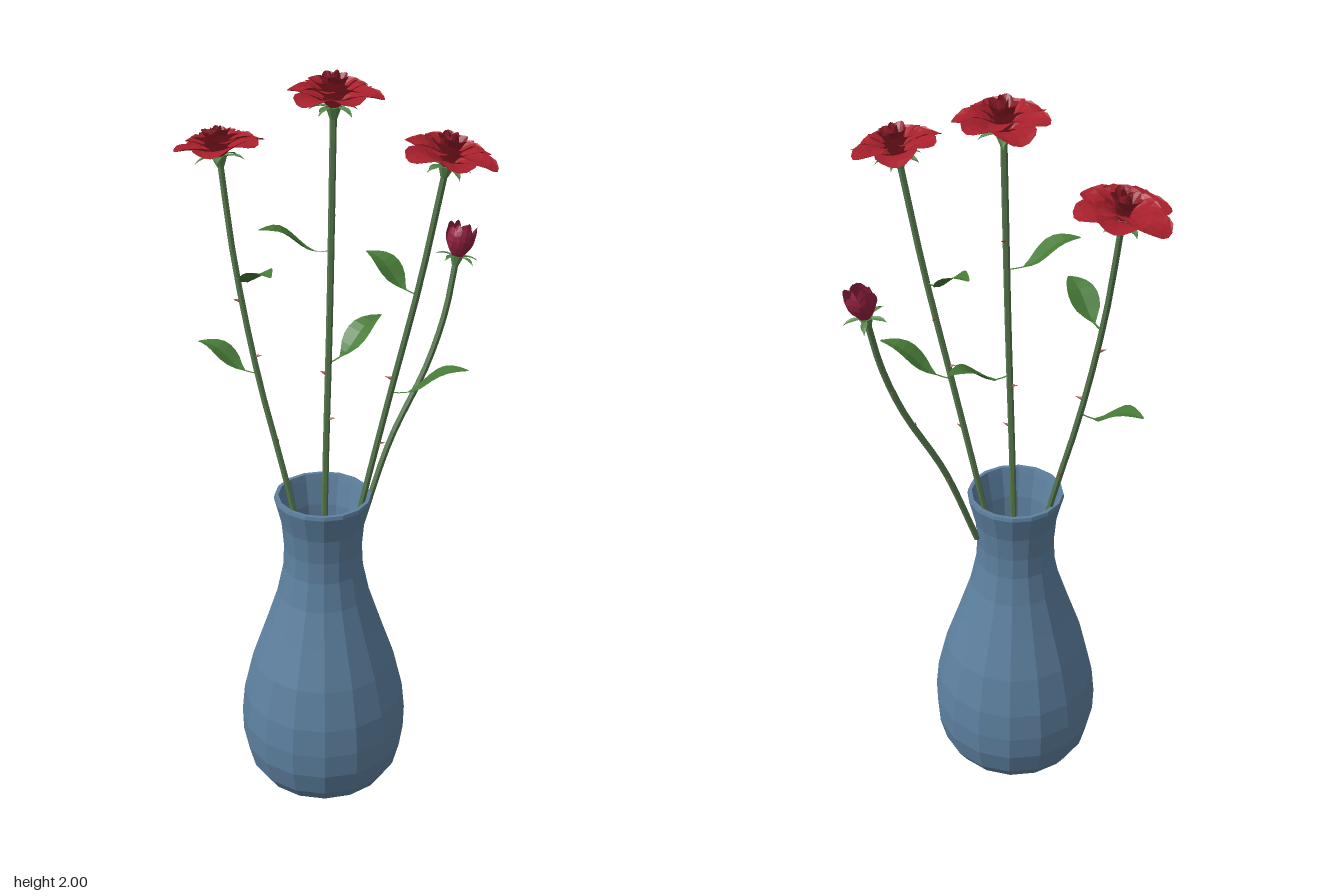
import * as THREE from 'three';

const mat = (name, color, side = THREE.FrontSide) =>
  new THREE.MeshStandardMaterial({ name, color, side, flatShading: true });
const V = (x, y, z) => new THREE.Vector3(x, y, z);
const UP = V(0, 1, 0);

// Open sheet over u in [-1, 1] and v in [0, 1]
function sheet(nu, nv, fn) {
  const pos = [], index = [];
  for (let j = 0; j <= nv; j++)
    for (let i = 0; i <= nu; i++) pos.push(...fn((2 * i) / nu - 1, j / nv).toArray());
  for (let j = 0; j < nv; j++)
    for (let i = 0; i < nu; i++) {
      const a = j * (nu + 1) + i, b = a + nu + 1;
      index.push(a, a + 1, b, a + 1, b + 1, b);
    }
  const g = new THREE.BufferGeometry();
  g.setAttribute('position', new THREE.Float32BufferAttribute(pos, 3));
  g.setIndex(index);
  g.computeVertexNormals();
  return g;
}

// Petal growing along +z: its angle from vertical opens from a0 to a1 (degrees)
function petal({ len, half, a0, a1, cup, base = 0.008, narrow = 0.3, point = 0 }) {
  const at = (s) => {
    let r = base, y = 0;
    const n = 12;
    for (let k = 0; k < n; k++) {
      const a = THREE.MathUtils.degToRad(a0 + (a1 - a0) * ((k + 0.5) / n) * s);
      r += (Math.sin(a) * len * s) / n;
      y += (Math.cos(a) * len * s) / n;
    }
    return [r, y, THREE.MathUtils.degToRad(a0 + (a1 - a0) * s)];
  };
  return sheet(4, 5, (u, v) => {
    const [r, y, a] = at(v * (1 - 0.16 * u * u * v));
    const body = narrow + (1 - narrow) * Math.sin(Math.min(1, v * 1.3) * Math.PI / 2);
    const w = half * body * (1 - (0.3 + point) * Math.pow(v, 4));
    const lift = cup * half * u * u * (1 - 0.4 * v);
    return V(u * w, y + lift * Math.sin(a), r - lift * Math.cos(a));
  });
}

function ring(group, name, material, count, y, turn, spec, tilt = 4) {
  for (let i = 0; i < count; i++) {
    const wobble = Math.sin(i * 2.7 + turn * 5);
    const m = new THREE.Mesh(
      petal({ ...spec, len: spec.len * (1 + 0.05 * wobble), a1: spec.a1 + tilt * wobble }), material);
    m.name = name;
    m.position.y = y;
    m.rotation.y = turn + (i / count) * Math.PI * 2 + 0.06 * wobble;
    group.add(m);
  }
}

export function createModel() {
  const model = new THREE.Group();
  const D = THREE.DoubleSide;
  const glaze = mat('blue glaze', 0x5d809f);
  const water = mat('water', 0x5c7a72);
  const stemGreen = mat('stem green', 0x55784c);
  const leafGreen = mat('leaf green', 0x467a36, D);
  const sepalGreen = mat('sepal green', 0x57884c, D);
  const thornBrown = mat('thorn brown', 0x9c5138);
  const red = mat('petal red', 0xa8202c, D);
  const deepRed = mat('inner petal red', 0x8e1a27, D);
  const budRed = mat('bud red', 0x942140, D);
  const add = (parent, name, geo, material) => {
    const m = new THREE.Mesh(geo, material);
    m.name = name;
    parent.add(m);
    return m;
  };

  // Vase: outer wall, rim and inner wall in one profile
  const profile = [
    [0, 0], [0.165, 0], [0.185, 0.012], [0.21, 0.05], [0.228, 0.12], [0.23, 0.19], [0.222, 0.27],
    [0.196, 0.38], [0.158, 0.49], [0.125, 0.59], [0.108, 0.67], [0.105, 0.73], [0.111, 0.8],
    [0.13, 0.875], [0.128, 0.885], [0.118, 0.885], [0.114, 0.87], [0.098, 0.8], [0.092, 0.73], [0.094, 0.67],
    [0.112, 0.59], [0.145, 0.49], [0.18, 0.38], [0.208, 0.2], [0.17, 0.04], [0, 0.03],
  ].map(([x, y]) => new THREE.Vector2(x, y));
  const vase = new THREE.Group();
  vase.name = 'vase';
  vase.position.set(-0.016, 0, 0.018);
  add(vase, 'vaseBody', new THREE.LatheGeometry(profile, 16), glaze);
  const surface = add(vase, 'waterSurface', new THREE.CircleGeometry(0.1, 16), water);
  surface.rotation.x = -Math.PI / 2;
  surface.position.y = 0.66;
  model.add(vase);

  // Stem with thorns; returns its curve
  function stem(points, thorns) {
    const curve = new THREE.CatmullRomCurve3(points.map((p) => V(...p)));
    add(model, 'stem', new THREE.TubeGeometry(curve, 16, 0.0085, 6), stemGreen);
    thorns.forEach(([t, angle]) => {
      const dir = V(Math.cos(angle), 0.25, Math.sin(angle)).normalize();
      const thorn = add(model, 'thorn', new THREE.ConeGeometry(0.005, 0.02, 4), thornBrown);
      thorn.position.copy(curve.getPointAt(t)).addScaledVector(dir, 0.015);
      thorn.quaternion.setFromUnitVectors(UP, dir);
    });
    return curve;
  }

  // Bloom or bud standing on the end of a stem
  function head(curve, name, turn) {
    const g = new THREE.Group();
    g.name = name;
    g.position.copy(curve.getPoint(1));
    g.quaternion.setFromUnitVectors(UP, curve.getTangent(1));
    g.rotateY(turn);
    model.add(g);
    return g;
  }
  function rose(curve, turn, height) {
    const g = head(curve, 'rose', turn);
    g.scale.y = height;
    add(g, 'calyx', new THREE.CylinderGeometry(0.02, 0.009, 0.03, 8), sepalGreen).position.y = 0.01;
    ring(g, 'sepal', sepalGreen, 5, 0.02, 0.3,
      { len: 0.06, half: 0.013, a0: 60, a1: 135, cup: 0.3, point: 0.6 });
    ring(g, 'outerPetal', red, 6, 0.022, 0,
      { len: 0.122, half: 0.056, a0: 42, a1: 108, cup: 0.25 }, 10);
    ring(g, 'middlePetal', red, 6, 0.028, 0.5,
      { len: 0.1, half: 0.045, a0: 22, a1: 98, cup: 0.35 }, 8);
    ring(g, 'innerPetal', red, 5, 0.032, 0.2,
      { len: 0.084, half: 0.035, a0: 14, a1: 72, cup: 0.45 }, 8);
    ring(g, 'heartPetal', deepRed, 5, 0.036, 0.7,
      { len: 0.076, half: 0.025, a0: 12, a1: 38, cup: 0.5 });
    ring(g, 'corePetal', deepRed, 3, 0.042, 0.1,
      { len: 0.072, half: 0.016, a0: 8, a1: 2, cup: 0.6 });
  }

  const middle = stem([[-0.02, 0.1, 0.02], [-0.01, 0.88, 0.008], [0.003, 1.4, -0.002], [0.012, 1.885, -0.018]],
    [[0.56, 0.3], [0.63, 3.6], [0.86, 5.2]]);
  const left = stem([[0.05, 0.1, 0.03], [-0.11, 0.88, -0.04], [-0.185, 1.2, -0.075], [-0.238, 1.5, -0.112], [-0.265, 1.735, -0.138]],
    [[0.55, 5], [0.7, 0.2], [0.79, 3]]);
  const right = stem([[-0.07, 0.1, 0.02], [0.087, 0.88, 0.05], [0.155, 1.2, 0.063], [0.22, 1.5, 0.08], [0.27, 1.775, 0.09]],
    [[0.57, 0.5], [0.68, 3.4], [0.76, 5]]);
  const budStem = stem([[0.085, 0.755, -0.025], [0.165, 1.0, -0.066], [0.26, 1.2, -0.105], [0.306, 1.34, -0.127], [0.33, 1.47, -0.145]],
    [[0.3, 4.7], [0.55, 1.6], [0.72, 4.6]]);
  rose(middle, 0.35, 0.97);
  rose(left, 0.9, 0.85);
  rose(right, 0.1, 0.92);

  // Closed bud
  const bud = head(budStem, 'bud', 0.2);
  add(bud, 'budCalyx', new THREE.CylinderGeometry(0.018, 0.009, 0.025, 8), sepalGreen).position.y = 0.006;
  ring(bud, 'budSepal', sepalGreen, 5, 0.014, 0.4,
    { len: 0.055, half: 0.01, a0: 65, a1: 125, cup: 0.3, point: 0.6 });
  ring(bud, 'budOuterPetal', budRed, 5, 0.012, 0,
    { len: 0.094, half: 0.031, a0: 48, a1: -14, cup: 0.45, narrow: 0.5 });
  ring(bud, 'budInnerPetal', budRed, 4, 0.014, 0.5,
    { len: 0.094, half: 0.022, a0: 34, a1: -24, cup: 0.4, narrow: 0.5 });

  // Leaves: narrow stalk, then a folded, gently waved blade from root to tip
  function leaf(root, tip, half) {
    const a = V(...root), b = V(...tip);
    const dir = b.clone().sub(a).normalize();
    const side = UP.clone().cross(dir).normalize();
    const normal = dir.clone().cross(side);
    const geo = sheet(4, 10, (u, v) => {
      const blade = Math.max(0, (v - 0.25) / 0.75);
      const w = 0.003 + half * Math.pow(Math.sin(Math.PI * Math.pow(blade, 0.8)), 0.9) * (v < 1 ? 1 : 0);
      const wave = 0.012 * Math.sin(v * Math.PI * 2 + 3.1) + 0.22 * w * Math.abs(u);
      return a.clone().lerp(b, v).addScaledVector(side, u * w).addScaledVector(normal, wave);
    });
    add(model, 'leaf', geo, leafGreen);
  }
  leaf([0.006, 1.555, -0.005], [-0.17, 1.625, 0.04], 0.036);
  leaf([0, 1.255, 0], [0.14, 1.33, -0.14], 0.034);
  leaf([-0.185, 1.195, -0.075], [-0.34, 1.247, -0.17], 0.034);
  leaf([-0.23, 1.45, -0.105], [-0.143, 1.51, 0.06], 0.036);
  leaf([0.215, 1.47, 0.078], [0.095, 1.54, -0.045], 0.036);
  leaf([0.155, 1.2, 0.063], [0.345, 1.28, 0.11], 0.034);
  return model;
}
